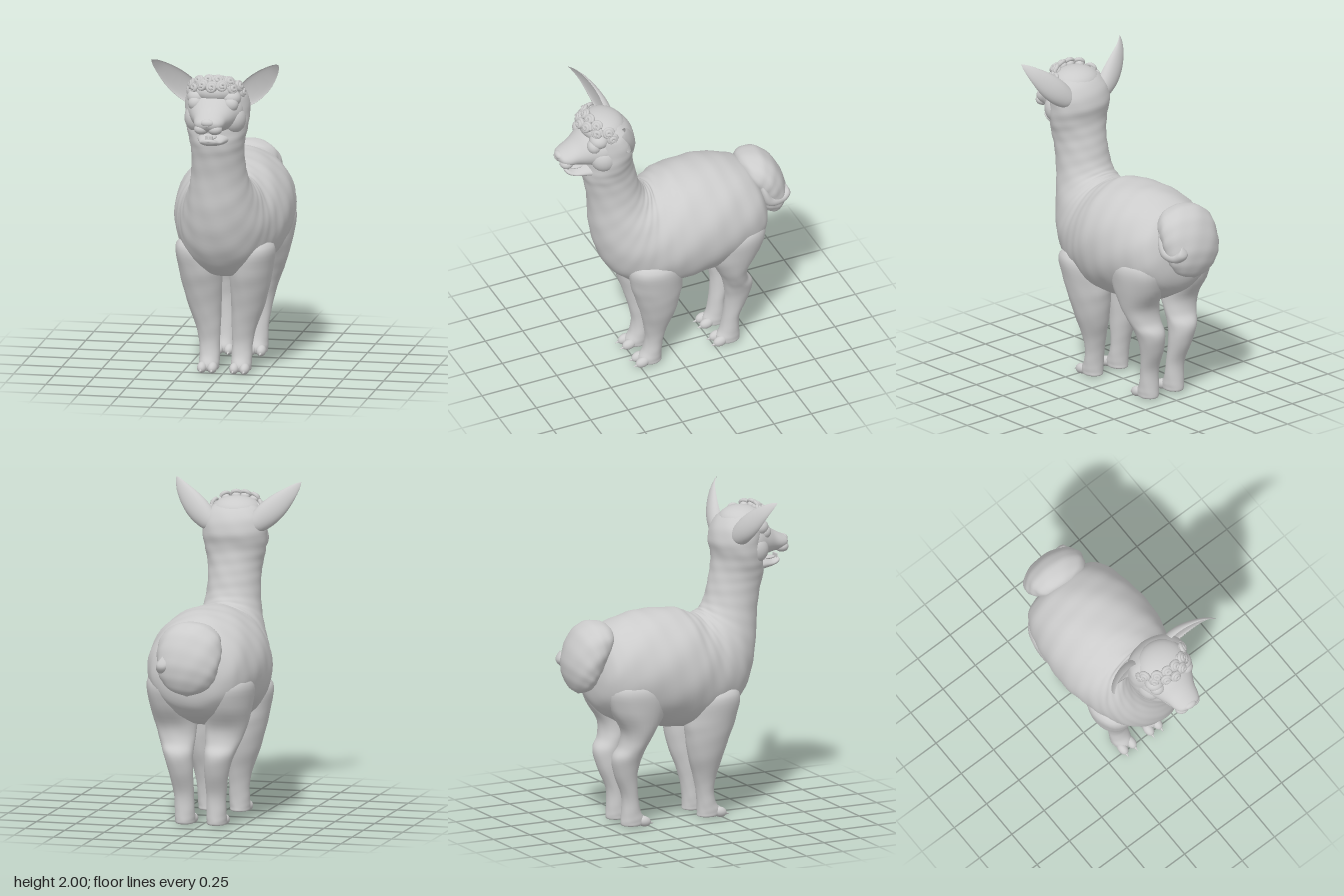
import * as THREE from 'three';

const material = new THREE.MeshStandardMaterial({ color: 0xcccccc, roughness: 0.8 });

function add(parent, name, geometry) {
  const mesh = new THREE.Mesh(geometry, material);
  mesh.name = name;
  parent.add(mesh);
  return mesh;
}

// Skin a stack of closed rings; rings[i](angle) gives a point
function skin(rings, sides) {
  const pos = [], idx = [];
  rings.forEach((ring, i) => {
    for (let j = 0; j < sides; j++) {
      pos.push(...ring((j / sides) * Math.PI * 2).toArray());
      if (i === 0) continue;
      const k = (j + 1) % sides, a = (i - 1) * sides, b = i * sides;
      idx.push(a + j, a + k, b + j, a + k, b + k, b + j);
    }
  });
  // Make the faces point outward
  const p = (n) => new THREE.Vector3().fromArray(pos, n * 3);
  let volume = 0;
  for (let i = 0; i < idx.length; i += 3) volume += p(idx[i]).dot(p(idx[i + 1]).cross(p(idx[i + 2])));
  if (volume < 0) idx.reverse();
  const g = new THREE.BufferGeometry();
  g.setAttribute('position', new THREE.Float32BufferAttribute(pos, 3));
  g.setIndex(idx);
  g.computeVertexNormals();
  return g;
}

const curve = (pts) => new THREE.CatmullRomCurve3(pts, false, 'catmullrom', 0.5);

// Smooth loft; each row is [zA, yA, zB, yB, halfWidth, centreX], A and B being opposite edges of the ring
function loft(rows, sides = 40, steps = 5, ripple = 0) {
  const A = curve(rows.map((r) => new THREE.Vector3(r[5] || 0, r[1], r[0])));
  const B = curve(rows.map((r) => new THREE.Vector3(r[5] || 0, r[3], r[2])));
  const W = curve(rows.map((r, i) => new THREE.Vector3(r[4], i, 0)));
  const n = (rows.length - 1) * steps, rings = [];
  for (let i = 0; i <= n; i++) {
    const a = A.getPoint(i / n), b = B.getPoint(i / n), w = Math.max(0, W.getPoint(i / n).x);
    const c = a.clone().add(b).multiplyScalar(0.5), d = a.clone().sub(b).multiplyScalar(0.5);
    rings.push((t) => {
      const k = 1 + ripple * Math.sin(i * 0.9 + 3 * t) * Math.sin(5 * t - i * 0.4);
      return c.clone().addScaledVector(d, k * Math.sin(t)).add(new THREE.Vector3(k * w * Math.cos(t), 0, 0));
    });
  }
  return skin(rings, sides);
}

function ball(parent, name, [x, y, z], [rx, ry, rz], tilt = 0) {
  const m = add(parent, name, new THREE.SphereGeometry(1, 24, 16));
  m.position.set(x, y, z);
  m.scale.set(rx, ry, rz);
  m.rotation.x = tilt;
  return m;
}

export function createModel() {
  const model = new THREE.Group();
  model.name = 'woollyAnimal';

  // Torso, neck and skull in one sweep
  add(model, 'bodyAndNeck', loft([
    [-0.6, 0.97, -0.6, 0.97, 0],
    [-0.56, 1.13, -0.58, 0.8, 0.2],
    [-0.49, 1.24, -0.5, 0.7, 0.29],
    [-0.35, 1.3, -0.36, 0.63, 0.335],
    [-0.2, 1.32, -0.17, 0.6, 0.36],
    [-0.02, 1.315, 0, 0.575, 0.352],
    [0.07, 1.285, 0.15, 0.59, 0.32],
    [0.125, 1.265, 0.3, 0.63, 0.285],
    [0.15, 1.27, 0.42, 0.74, 0.255],
    [0.17, 1.28, 0.49, 0.9, 0.22],
    [0.19, 1.3, 0.525, 1.08, 0.188],
    [0.215, 1.35, 0.535, 1.25, 0.168],
    [0.235, 1.43, 0.56, 1.4, 0.163],
    [0.255, 1.52, 0.58, 1.49, 0.17],
    [0.265, 1.61, 0.57, 1.57, 0.19],
    [0.25, 1.7, 0.56, 1.68, 0.2],
    [0.28, 1.8, 0.55, 1.79, 0.185],
    [0.35, 1.87, 0.5, 1.87, 0.11],
    [0.42, 1.89, 0.42, 1.89, 0],
  ], 56, 6, 0.012));

  // Head
  const head = new THREE.Group();
  head.name = 'head';
  model.add(head);
  add(head, 'muzzle', loft([
    [0.36, 1.8, 0.36, 1.58, 0.15],
    [0.48, 1.84, 0.48, 1.56, 0.175],
    [0.57, 1.8, 0.57, 1.58, 0.14],
    [0.64, 1.745, 0.64, 1.598, 0.105],
    [0.7, 1.71, 0.7, 1.605, 0.088],
    [0.74, 1.69, 0.735, 1.625, 0.062],
    [0.757, 1.665, 0.757, 1.655, 0],
  ]));
  add(head, 'lowerJaw', loft([
    [0.48, 1.58, 0.48, 1.48, 0.12],
    [0.57, 1.57, 0.57, 1.495, 0.09],
    [0.64, 1.55, 0.65, 1.51, 0.064],
    [0.69, 1.56, 0.69, 1.525, 0.042],
    [0.705, 1.55, 0.705, 1.55, 0],
  ]));
  ball(head, 'tongue', [0, 1.56, 0.62], [0.035, 0.012, 0.06]);
  ball(head, 'nose', [0, 1.672, 0.735], [0.042, 0.024, 0.025]);
  for (const x of [-0.013, 0.013]) {
    const tooth = add(head, 'lowerTooth', new THREE.BoxGeometry(0.022, 0.03, 0.01));
    tooth.position.set(x, 1.565, 0.683);
  }
  for (const s of [-1, 1]) {
    ball(head, 'upperLip', [s * 0.042, 1.628, 0.705], [0.045, 0.034, 0.042]);
    ball(head, 'cheek', [s * 0.115, 1.65, 0.48], [0.075, 0.09, 0.09]);
    ball(head, 'brow', [s * 0.105, 1.785, 0.515], [0.062, 0.052, 0.06]);
    ball(head, 'eye', [s * 0.108, 1.752, 0.548], [0.048, 0.047, 0.045]);

    // Cupped ear, hollow toward the front: [x, y, z, halfWidth, depth]
    const ear = [
      [0.13, 1.745, 0.375, 0.055, 0.06], [0.17, 1.775, 0.375, 0.07, 0.07], [0.23, 1.828, 0.385, 0.076, 0.065],
      [0.29, 1.884, 0.405, 0.066, 0.05], [0.345, 1.94, 0.435, 0.043, 0.03], [0.38, 1.98, 0.47, 0.02, 0.015],
      [0.396, 2, 0.495, 0, 0],
    ];
    const centre = curve(ear.map((r) => new THREE.Vector3(s * r[0], r[1], r[2])));
    const size = curve(ear.map((r) => new THREE.Vector3(r[3], r[4], r[0])));
    const across = new THREE.Vector3(-0.62 * s, 0.78, 0), back = new THREE.Vector3(-0.3 * s, -0.25, -0.92);
    const rings = [];
    for (let i = 0; i <= 30; i++) {
      const c = centre.getPoint(i / 30), r = size.getPoint(i / 30);
      rings.push((t) => c.clone().addScaledVector(across, r.x * Math.cos(t))
        .addScaledVector(back, r.y * Math.abs(Math.sin(t)) * (Math.sin(t) > 0 ? 1 : 0.3)));
    }
    add(head, 'ear', skin(rings, 28));
  }

  // Woolly forelock: a cap with small spiral curls
  ball(head, 'woolCap', [0, 1.82, 0.45], [0.155, 0.085, 0.14]);
  const spiral = curve(Array.from({ length: 15 }, (_, i) => {
    const r = 0.031 - i * 0.0018, a = i * 0.85;
    return new THREE.Vector3(r * Math.cos(a), r * Math.sin(a), i * 0.0012);
  }));
  const curlGeometry = new THREE.TubeGeometry(spiral, 48, 0.0125, 8);
  const curls = [[0, 1.862, 0.592], [0.06, 1.868, 0.575], [0.03, 1.897, 0.545], [0.095, 1.885, 0.525],
    [0.115, 1.845, 0.53], [0.145, 1.85, 0.47], [0.16, 1.81, 0.45]];
  for (const [x, y, z] of curls) for (const s of x ? [-1, 1] : [1]) {
    const curl = add(head, 'curl', curlGeometry);
    curl.position.set(s * x, y, z);
    curl.lookAt(s * x * 2, y + (y - 1.8), z + (z - 0.42));
    ball(head, 'curlRoot', [s * x * 0.95, y - 0.006, z - 0.01], [0.03, 0.024, 0.026]);
  }

  // Legs: rows run down from the hip or shoulder, front edge first
  const legs = {
    frontLeg: [
      [0.2, 0.88, 0.2, 0.88, 0, 0.17],
      [0.33, 0.8, 0.02, 0.8, 0.115, 0.185],
      [0.325, 0.66, -0.01, 0.64, 0.13, 0.16],
      [0.285, 0.53, 0.0, 0.53, 0.12, 0.148],
      [0.245, 0.4, 0.025, 0.4, 0.1, 0.133],
      [0.215, 0.28, 0.065, 0.28, 0.077, 0.112],
      [0.2, 0.18, 0.09, 0.18, 0.064, 0.103],
      [0.215, 0.1, 0.1, 0.09, 0.063, 0.1],
      [0.245, 0.05, 0.1, 0.035, 0.062, 0.1],
      [0.235, 0.012, 0.105, 0.012, 0.054, 0.1],
      [0.17, 0.01, 0.17, 0.01, 0, 0.1],
    ],
    hindLeg: [
      [-0.36, 1.02, -0.36, 1.02, 0, 0.18],
      [-0.18, 0.9, -0.54, 0.92, 0.135, 0.19],
      [-0.17, 0.75, -0.53, 0.77, 0.145, 0.175],
      [-0.24, 0.62, -0.445, 0.62, 0.13, 0.158],
      [-0.29, 0.52, -0.45, 0.52, 0.108, 0.143],
      [-0.315, 0.43, -0.495, 0.45, 0.09, 0.128],
      [-0.33, 0.33, -0.475, 0.34, 0.075, 0.113],
      [-0.32, 0.2, -0.42, 0.2, 0.062, 0.103],
      [-0.3, 0.1, -0.42, 0.09, 0.061, 0.1],
      [-0.275, 0.05, -0.425, 0.035, 0.061, 0.1],
      [-0.285, 0.012, -0.415, 0.012, 0.053, 0.1],
      [-0.35, 0.01, -0.35, 0.01, 0, 0.1],
    ],
  };
  for (const [name, rows] of Object.entries(legs)) for (const s of [-1, 1]) {
    const leg = new THREE.Group();
    leg.name = name;
    model.add(leg);
    add(leg, name + 'Limb', loft(rows.map((r) => [...r.slice(0, 5), s * r[5]]), 32, 5, 0.012));
    const z = name === 'frontLeg' ? 0.235 : -0.285;
    for (const t of [-1, 1]) {
      ball(leg, 'toe', [s * 0.1 + t * 0.032, 0.033, z], [0.03, 0.032, 0.045], 0.25);
      const claw = add(leg, 'claw', new THREE.ConeGeometry(0.018, 0.06, 12));
      claw.position.set(s * 0.1 + t * 0.034, 0.021, z + 0.038);
      claw.rotation.x = Math.PI / 2 + 0.2;
    }
  }

  // Bushy drooping tail with one curled lock on its left side
  add(model, 'tail', loft([
    [-0.46, 1.23, -0.46, 1.23, 0],
    [-0.5, 1.28, -0.49, 1.12, 0.14],
    [-0.6, 1.29, -0.52, 1.05, 0.188],
    [-0.69, 1.22, -0.54, 1.0, 0.2],
    [-0.748, 1.09, -0.56, 0.96, 0.19],
    [-0.752, 0.98, -0.58, 0.92, 0.165],
    [-0.72, 0.89, -0.61, 0.885, 0.11],
    [-0.67, 0.85, -0.67, 0.85, 0],
  ], 40, 6, 0.02));
  const lock = [
    [-0.54, 1.22, -0.54, 1.22, 0, 0.14], [-0.58, 1.12, -0.54, 1.11, 0.03, 0.165], [-0.62, 1.06, -0.58, 1.0, 0.04, 0.165],
    [-0.68, 1.05, -0.68, 0.98, 0.04, 0.15], [-0.71, 1.07, -0.745, 1.03, 0.035, 0.14], [-0.72, 1.1, -0.72, 1.1, 0, 0.14],
  ];
  add(model, 'tailLock', loft(lock, 20, 6));
  return model;
}
